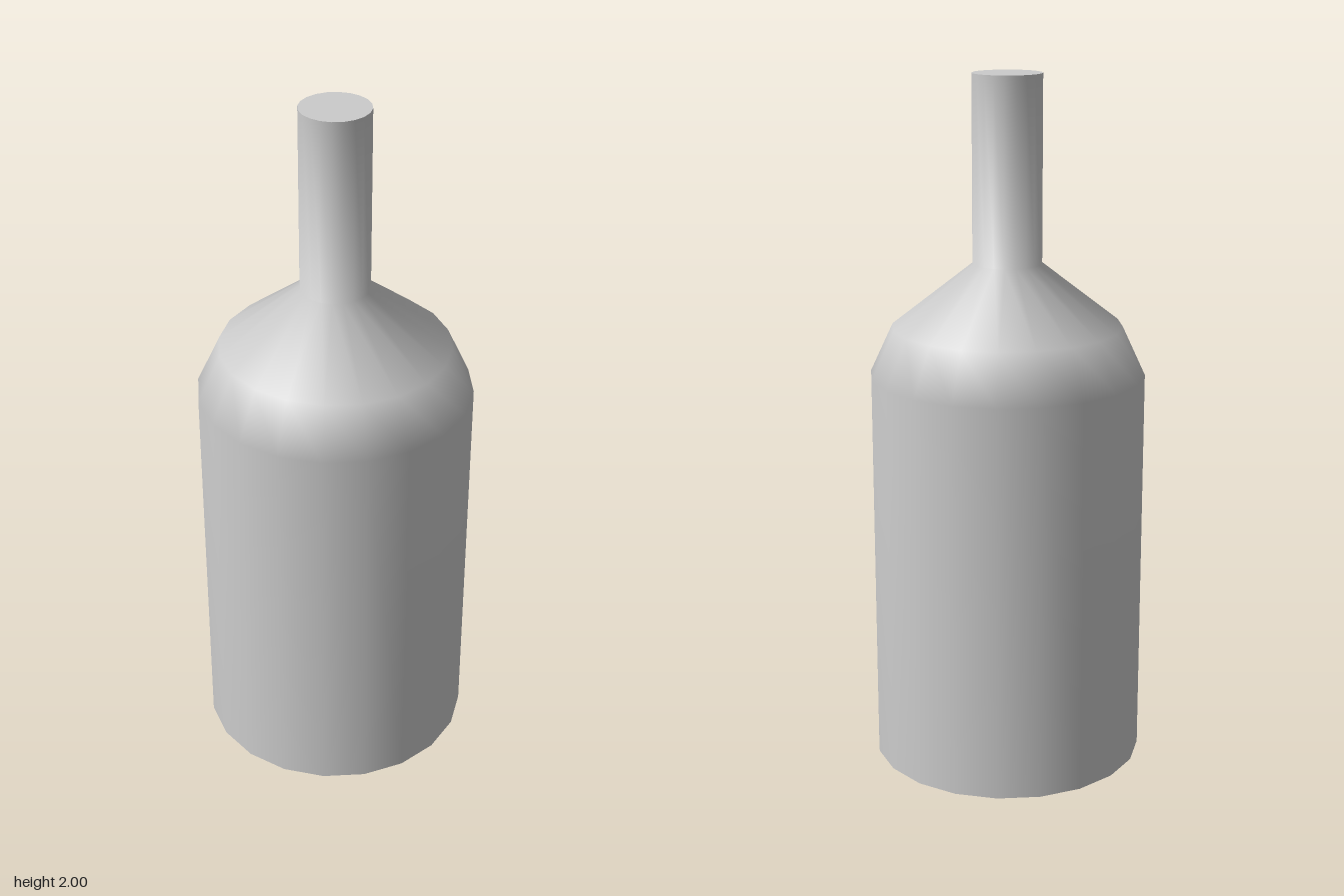
import * as THREE from 'three';
import { mergeVertices } from 'three/addons/utils/BufferGeometryUtils.js';

const SIDES = 20;
const BASE_RADIUS = 0.395, NECK_RADIUS = 0.099, HEIGHT = 2;

export function createModel() {
  const group = new THREE.Group();
  group.name = 'bottle';
  const material = new THREE.MeshStandardMaterial({ color: 0xcccccc });

  const add = (name, geometry) => {
    const mesh = new THREE.Mesh(geometry, material);
    mesh.name = name;
    group.add(mesh);
    return mesh;
  };

  // Body, two-step shoulder and neck as one smooth turned wall
  const profile = [
    [BASE_RADIUS, 0],
    [BASE_RADIUS, 1.15],
    [0.33, 1.29],
    [NECK_RADIUS, 1.47],
    [NECK_RADIUS, HEIGHT],
  ].map(([r, y]) => new THREE.Vector2(r, y));
  const lathe = new THREE.LatheGeometry(profile, SIDES);
  lathe.deleteAttribute('uv');
  lathe.deleteAttribute('normal');
  // Weld the seam so the normals are weighted by face area all round
  const wall = mergeVertices(lathe, 1e-4);
  wall.computeVertexNormals();
  add('bottleWall', wall);

  // Flat discs closing the base and the mouth
  const base = add('base', new THREE.CircleGeometry(BASE_RADIUS, SIDES));
  base.rotation.x = Math.PI / 2;
  const mouth = add('mouthCap', new THREE.CircleGeometry(NECK_RADIUS, SIDES));
  mouth.rotation.x = -Math.PI / 2;
  mouth.position.y = HEIGHT;

  return group;
}
